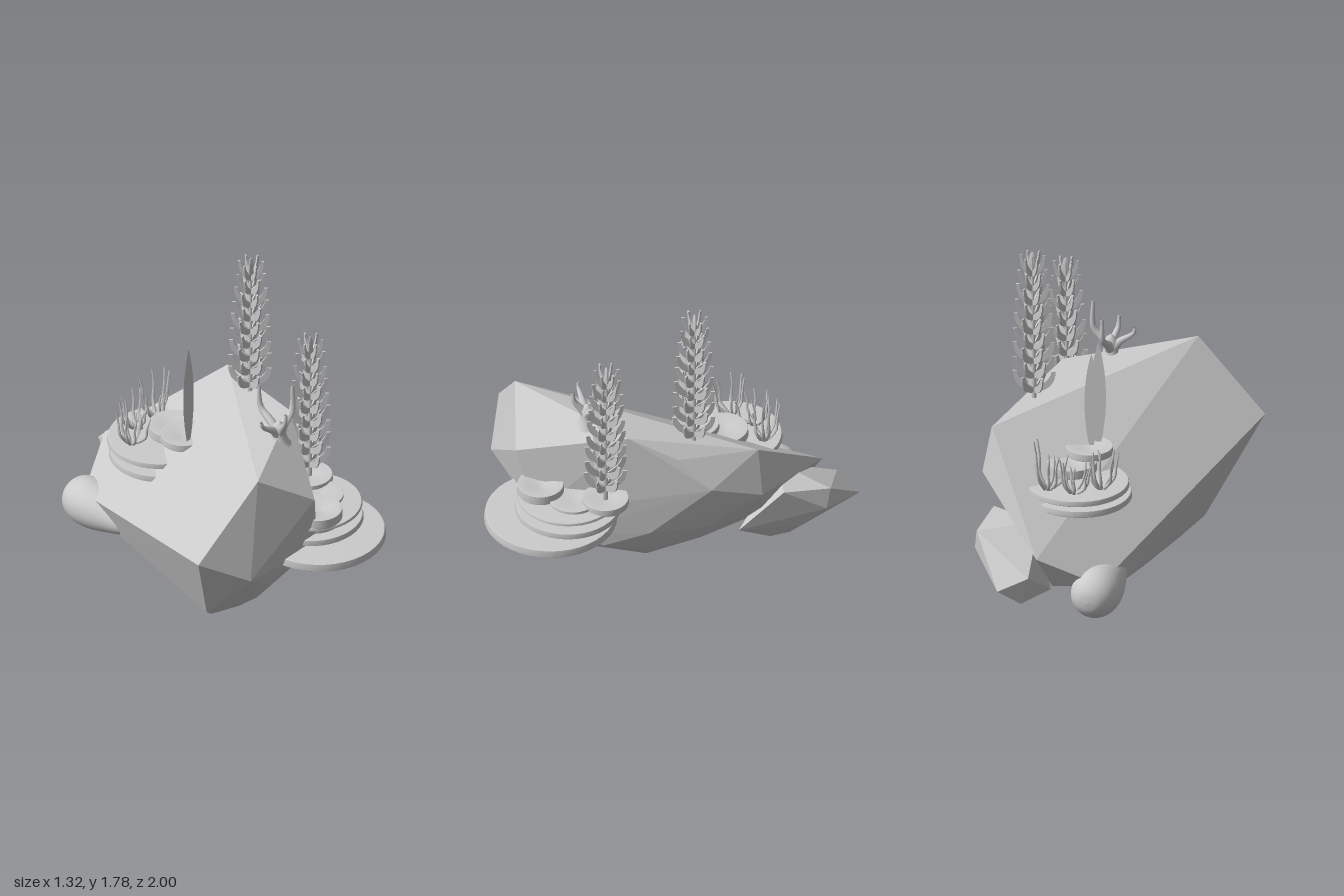
import * as THREE from 'three';
import { ConvexGeometry } from 'three/addons/geometries/ConvexGeometry.js';

const V = (x, y, z) => new THREE.Vector3(x, y, z);
const grey = new THREE.MeshStandardMaterial({ color: 0xcccccc, side: THREE.DoubleSide });
const faceted = new THREE.MeshStandardMaterial({ color: 0xcccccc, flatShading: true });

function add(parent, name, geometry, material = grey) {
  const mesh = new THREE.Mesh(geometry, material);
  mesh.name = name;
  parent.add(mesh);
  return mesh;
}

function group(parent, name, x, y, z) {
  const g = new THREE.Group();
  g.name = name;
  g.position.set(x, y, z);
  parent.add(g);
  return g;
}

// Faceted boulder wrapped around its corner points
function boulder(parent, name, corners) {
  add(parent, name, new ConvexGeometry(corners.map(c => V(...c))), faceted);
}

// Tube whose radius shrinks from r0 to r1 along the path
function taperTube(points, r0, r1, segments = 12, sides = 6) {
  const curve = new THREE.CatmullRomCurve3(points);
  const geo = new THREE.TubeGeometry(curve, segments, 1, sides);
  const pos = geo.attributes.position;
  const p = V(0, 0, 0);
  for (let i = 0; i < pos.count; i++) {
    const t = Math.floor(i / (sides + 1)) / segments;
    const c = curve.getPointAt(t);
    p.fromBufferAttribute(pos, i).sub(c).multiplyScalar(r0 + (r1 - r0) * Math.pow(t, 0.7)).add(c);
    pos.setXYZ(i, p.x, p.y, p.z);
  }
  geo.computeVertexNormals();
  return geo;
}

// Round plate with a crisp, slightly tapered rim and a shallow dish on top
function plate(parent, name, x, y, z, r, h, dip = 0) {
  const profile = [
    [0, 0], [r * 0.98, 0], [r * 0.98, 0], [r, h * 0.15], [r * 0.98, h * 0.95], [r * 0.98, h * 0.95],
    [r * 0.95, h], [r * 0.55, h - dip * 0.3], [r * 0.2, h - dip], [0, h - dip]
  ].map(p => new THREE.Vector2(...p));
  add(parent, name, new THREE.LatheGeometry(profile, 40)).position.set(x, y, z);
}

// Blunt leaf standing in a vertical plane, sweeping out and up
function leafGeometry(reach, height) {
  const s = new THREE.Shape();
  s.moveTo(0, -0.005);
  s.bezierCurveTo(reach * 0.55, height * 0.05, reach * 0.98, height * 0.3, reach, height);
  s.lineTo(reach * 0.8, height);
  s.bezierCurveTo(reach * 0.75, height * 0.62, reach * 0.45, height * 0.42, 0, 0.02);
  const geo = new THREE.ExtrudeGeometry(s, { depth: 0.008, bevelEnabled: false, curveSegments: 6 });
  return geo.translate(0, 0, -0.004);
}

// Tall kelp: thin stem with repeated whorls of leaves, narrower toward the tip
function kelp(parent, x, y, z, height, turn) {
  const g = group(parent, 'kelp', x, y, z);
  add(g, 'kelpStem', taperTube([V(0, -0.03, 0), V(0.006, height * 0.5, 0), V(0.01, height * 0.97, -0.004)], 0.015, 0.006));
  const rows = 9, arms = 6;
  for (let row = 0; row < rows; row++) {
    const t = row / (rows - 1);
    const geo = leafGeometry(0.112 - 0.045 * t * t, 0.115);
    for (let i = 0; i < arms; i++) {
      const leaf = add(g, 'kelpLeaf', geo);
      leaf.position.set(0.01 * t, 0.055 + t * (height - 0.19), 0);
      leaf.rotation.y = turn + (i / arms) * Math.PI * 2 + (row % 2) * 0.15;
    }
  }
  const tip = new THREE.SphereGeometry(1, 8, 6).scale(0.02, 0.075, 0.008);
  add(g, 'kelpTip', tip).position.set(0.01, height - 0.075, 0);
}

// Tuft of thin wavy strands
function tuft(parent, x, y, z, height, turn) {
  const g = group(parent, 'seaGrass', x, y, z);
  for (let i = 0; i < 8; i++) {
    const a = turn + i * 2.4;
    const r = 0.06 + 0.045 * ((i * 3) % 5) / 4;
    const h = height * (0.65 + 0.35 * ((i * 2) % 5) / 4);
    const at = (q, v, da) => V(Math.cos(a + da) * r * q, h * v, Math.sin(a + da) * r * q);
    add(g, 'grassStrand', taperTube([at(0.1, 0, 0), at(0.75, 0.3, 0), at(0.85, 0.65, 0.1), at(1, 1, 0)], 0.012, 0.004, 8, 5));
  }
}

export function createModel() {
  const model = new THREE.Group();
  model.name = 'reefRock';

  // Main boulder: broad sloping top, pointed underside
  boulder(model, 'mainRock', [
    [-0.66, 0.70, 0.54], [-0.29, 1.07, 0.63], [0, 0.865, 0.77], [-0.43, 0.55, 0.70],
    [0.36, 1.03, 0.30], [0.605, 0.91, -0.33], [0.655, 0.65, -0.33], [0.61, 0.74, -0.06],
    [0.5, 0.91, 0.08], [0.26, 0.43, -0.87], [-0.05, 0.26, -0.75], [0.1, 0.5, 0.7],
    [-0.21, 0.39, 0.63], [0.18, 0.38, 0.57], [0.28, 0.31, 0.4], [-0.38, 0.18, 0.36],
    [-0.26, 0.075, 0.29], [-0.12, 0.19, 0.48], [0.05, 0.19, 0.46], [-0.09, 0.06, 0.34],
    [-0.15, 0.025, 0.22], [-0.07, 0.005, 0.2], [0.05, 0.02, 0.03], [0.17, 0.08, 0.1],
    [0.28, 0.2, 0.16], [0.42, 0.42, 0.2], [0.48, 0.4, -0.1], [0.3, 0.19, -0.15],
    [0.1, 0.11, -0.42], [0.4, 0.32, -0.45], [0.2, 0.23, -0.75], [-0.15, 0.08, -0.1],
    [-0.09, 0.14, -0.48]
  ]);

  // Small boulder at the back
  boulder(model, 'smallRock', [
    [0.44, 0.29, -1.0], [0.29, 0.35, -0.94], [0.33, 0.2, -0.93], [0.6, 0.51, -0.75],
    [0.615, 0.40, -0.72], [0.56, 0.54, -0.5], [0.44, 0.28, -0.30], [0.3, 0.52, -0.6],
    [0.51, 0.25, -0.62], [0.43, 0.16, -0.6], [0.29, 0.09, -0.54], [0.36, 0.11, -0.52],
    [0.24, 0.14, -0.6]
  ]);

  // Smooth drop-shaped bulb under the back edge
  const drop = [[0, -0.15], [0.06, -0.138], [0.11, -0.09], [0.13, -0.01], [0.12, 0.09], [0.09, 0.2], [0.055, 0.3], [0, 0.38]];
  const dropCurve = new THREE.SplineCurve(drop.map(p => new THREE.Vector2(...p)));
  const dropPoints = dropCurve.getPoints(28).map(p => new THREE.Vector2(Math.max(0, p.x), p.y));
  const bulb = add(model, 'bulb', new THREE.LatheGeometry(dropPoints, 32));
  bulb.position.set(-0.03, 0.21, -0.725);
  bulb.quaternion.setFromUnitVectors(V(0, 1, 0), V(-0.14, 0.02, 1).normalize());

  // Stacked plates on the front face: x, y, z, radius, height, dish
  const front = group(model, 'frontPlates', 0, 0, 0);
  [
    [0.175, 0.505, 0.655, 0.345, 0.045, 0], [0.205, 0.565, 0.57, 0.275, 0.033, 0],
    [0.18, 0.595, 0.6, 0.17, 0.055, 0], [0.21, 0.648, 0.57, 0.265, 0.015, 0],
    [0.36, 0.655, 0.43, 0.122, 0.04, 0.012], [0.13, 0.66, 0.69, 0.122, 0.055, 0.018],
    [0.27, 0.648, 0.57, 0.13, 0.03, 0.01]
  ].forEach(p => plate(front, 'shelfPlate', ...p));

  // Stacked plates on the back slope
  const back = group(model, 'backPlates', 0, 0, 0);
  [
    [0.13, 0.58, -0.38, 0.27, 0.035, 0], [0.14, 0.65, -0.40, 0.27, 0.03, 0],
    [0.18, 0.71, -0.34, 0.13, 0.05, 0.015], [0.115, 0.755, -0.21, 0.125, 0.04, 0.015]
  ].forEach(p => plate(back, 'slopePlate', ...p));

  // Two tall kelps
  kelp(model, 0.36, 0.69, 0.43, 0.86, 0.15);
  kelp(model, 0.44, 0.94, -0.04, 0.85, 0.1);

  // Branching coral on the crest
  const coral = group(model, 'coral', 0.13, 1.0, 0.42);
  const foot = [[0.065, 0], [0.045, 0.03], [0.035, 0.07], [0.035, 0.11], [0, 0.14]].map(p => new THREE.Vector2(...p));
  add(coral, 'coralFoot', new THREE.LatheGeometry(foot, 14));
  [
    [0.095, 0.32, 0.01], [-0.03, 0.22, 0.07], [0.015, 0.29, -0.15], [-0.13, 0.19, -0.01]
  ].forEach(([x, y, z]) => add(coral, 'coralBranch', taperTube(
    [V(0, 0.04, 0), V(x * 0.35, 0.1, z * 0.35), V(x * 0.95, 0.16, z * 0.9), V(x, y, z)], 0.032, 0.008, 14, 8)));

  // Upright pointed blades on the back plate, facing front to back
  const bladeShape = new THREE.Shape();
  bladeShape.moveTo(-0.01, 0);
  bladeShape.bezierCurveTo(-0.055, 0.2, -0.05, 0.42, 0, 0.6);
  bladeShape.bezierCurveTo(0.05, 0.42, 0.055, 0.2, 0.01, 0);
  const bladeGeo = new THREE.ShapeGeometry(bladeShape, 10);
  const blades = group(model, 'blades', 0.09, 0.765, -0.15);
  [[-0.01, 0, 1], [0.02, -0.03, 0.9]].forEach(([x, z, size]) => {
    const blade = add(blades, 'blade', bladeGeo);
    blade.position.set(x, 0, z);
    blade.scale.setScalar(size);
  });

  // Grass tufts along the rim of the back plates
  tuft(model, 0.0, 0.67, -0.47, 0.24, 0.3);
  tuft(model, 0.13, 0.67, -0.55, 0.2, 1.1);
  tuft(model, 0.27, 0.67, -0.53, 0.27, 2.0);

  return model;
}
